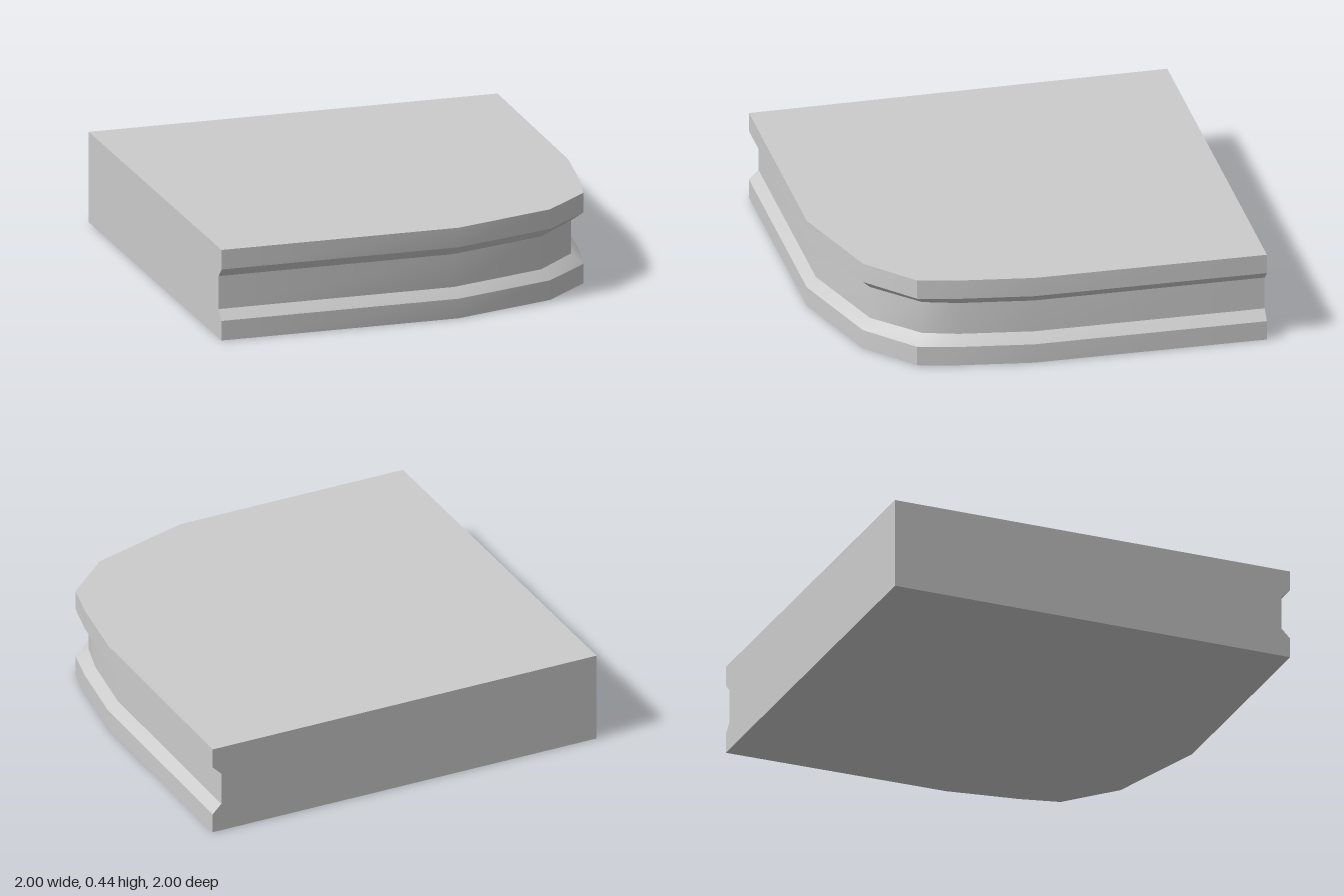
import * as THREE from 'three';
import { toCreasedNormals } from 'three/addons/utils/BufferGeometryUtils.js';

// Plan outlines as [x, z], counter-clockwise seen from above
const rim = [[-1, 1], [0.16, 1], [0.655, 0.85], [0.885, 0.645], [0.93, 0.46], [0.985, 0.11], [1, -1], [-1, -1]];
const groove = [[-1, 0.955], [0.15, 0.955], [0.625, 0.81], [0.835, 0.61], [0.885, 0.445], [0.94, 0.1], [0.955, -1], [-1, -1]];

// Stacked cross-sections: lower rim, recessed band, upper rim
const sections = [[0, rim], [0.095, rim], [0.14, groove], [0.3, groove], [0.345, rim], [0.44, rim]];

function loftSlab(levels) {
  const n = levels[0][1].length;
  const last = (levels.length - 1) * n;
  const positions = levels.flatMap(([y, outline]) => outline.flatMap(([x, z]) => [x, y, z]));
  const index = [];
  // Walls between neighbouring sections
  for (let j = 0; j < levels.length - 1; j++) {
    for (let k = 0; k < n; k++) {
      const a = j * n + k, b = j * n + (k + 1) % n;
      index.push(a, b, b + n, a, b + n, a + n);
    }
  }
  // Flat bottom and top, fanned from the square back corner
  for (let k = 0; k < n - 2; k++) {
    index.push(n - 1, k + 1, k);
    index.push(last + n - 1, last + k, last + k + 1);
  }
  const geometry = new THREE.BufferGeometry();
  geometry.setAttribute('position', new THREE.Float32BufferAttribute(positions, 3));
  geometry.setIndex(index);
  return toCreasedNormals(geometry, THREE.MathUtils.degToRad(30));
}

export function createModel() {
  const group = new THREE.Group();
  group.name = 'roundedCornerSlab';
  const slab = new THREE.Mesh(loftSlab(sections), new THREE.MeshStandardMaterial({ color: 0xcccccc }));
  slab.name = 'groovedSlab';
  group.add(slab);
  return group;
}
